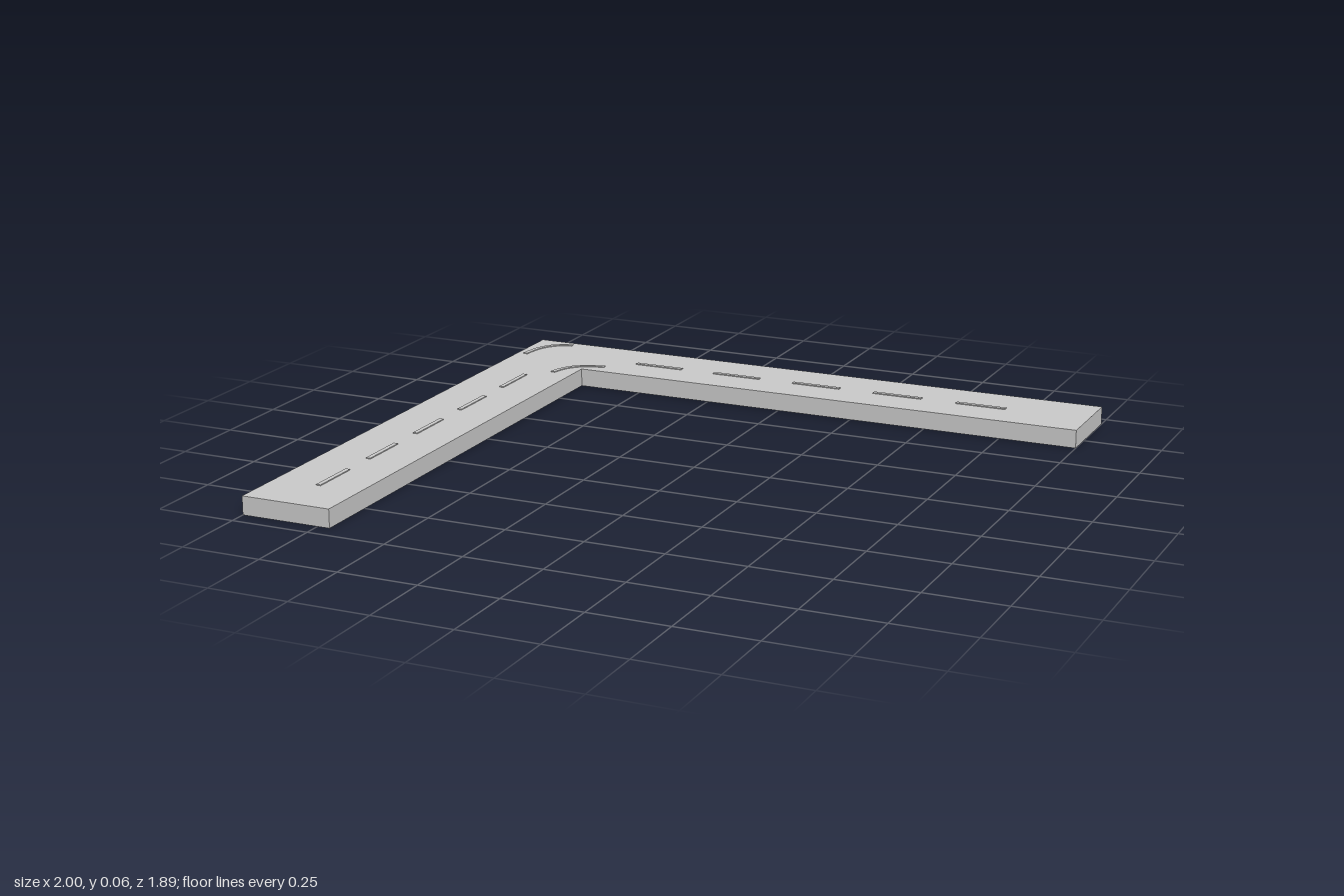
import * as THREE from 'three';

const TOP = 0.058, LIFT = 0.003, LINE = 0.015;
const material = new THREE.MeshStandardMaterial({ color: 0xcccccc, flatShading: true });

// Extrudes an outline given as [x, z] points upwards from height y
function slab(name, points, y, height) {
  const shape = new THREE.Shape(points.map(([x, z]) => new THREE.Vector2(x, -z)));
  const geometry = new THREE.ExtrudeGeometry(shape, { depth: height, bevelEnabled: false });
  geometry.rotateX(-Math.PI / 2);
  const mesh = new THREE.Mesh(geometry, material);
  mesh.name = name;
  mesh.position.y = y;
  return mesh;
}

// Thin curved road line, bending from start to end around a control point
function curvedLine(name, start, control, end) {
  const curve = new THREE.QuadraticBezierCurve(
    new THREE.Vector2(...start), new THREE.Vector2(...control), new THREE.Vector2(...end));
  const left = [], right = [];
  for (let i = 0; i <= 10; i++) {
    const p = curve.getPoint(i / 10), t = curve.getTangent(i / 10);
    left.push([p.x - t.y * LINE / 2, p.y + t.x * LINE / 2]);
    right.unshift([p.x + t.y * LINE / 2, p.y - t.x * LINE / 2]);
  }
  return slab(name, [...left, ...right], TOP, LIFT);
}

export function createModel() {
  const model = new THREE.Group();
  model.name = 'roadCorner';

  // L-shaped road bed
  model.add(slab('roadBed', [
    [-1, 0.945], [-0.71, 0.945], [-0.71, -0.663], [1, -0.663], [1, -0.945], [-1, -0.945],
  ], 0, TOP));

  // Centre dashes along both arms
  const dash = (name, width, depth, x, z) => {
    const mesh = new THREE.Mesh(new THREE.BoxGeometry(width, LIFT, depth), material);
    mesh.name = name;
    mesh.position.set(x, TOP + LIFT / 2, z);
    model.add(mesh);
  };
  for (let i = 0; i < 5; i++) {
    dash('sideArmDash', LINE, 0.165, -0.85, -0.44 + i * 0.2825);
    dash('backArmDash', 0.165, LINE, -0.485 + i * 0.2825, -0.795);
  }

  // Curved lines at the bend
  model.add(curvedLine('outerBendLine', [-0.97, -0.757], [-0.965, -0.9], [-0.87, -0.915]));
  model.add(curvedLine('innerBendLine', [-0.78, -0.59], [-0.765, -0.705], [-0.65, -0.715]));
  return model;
}
